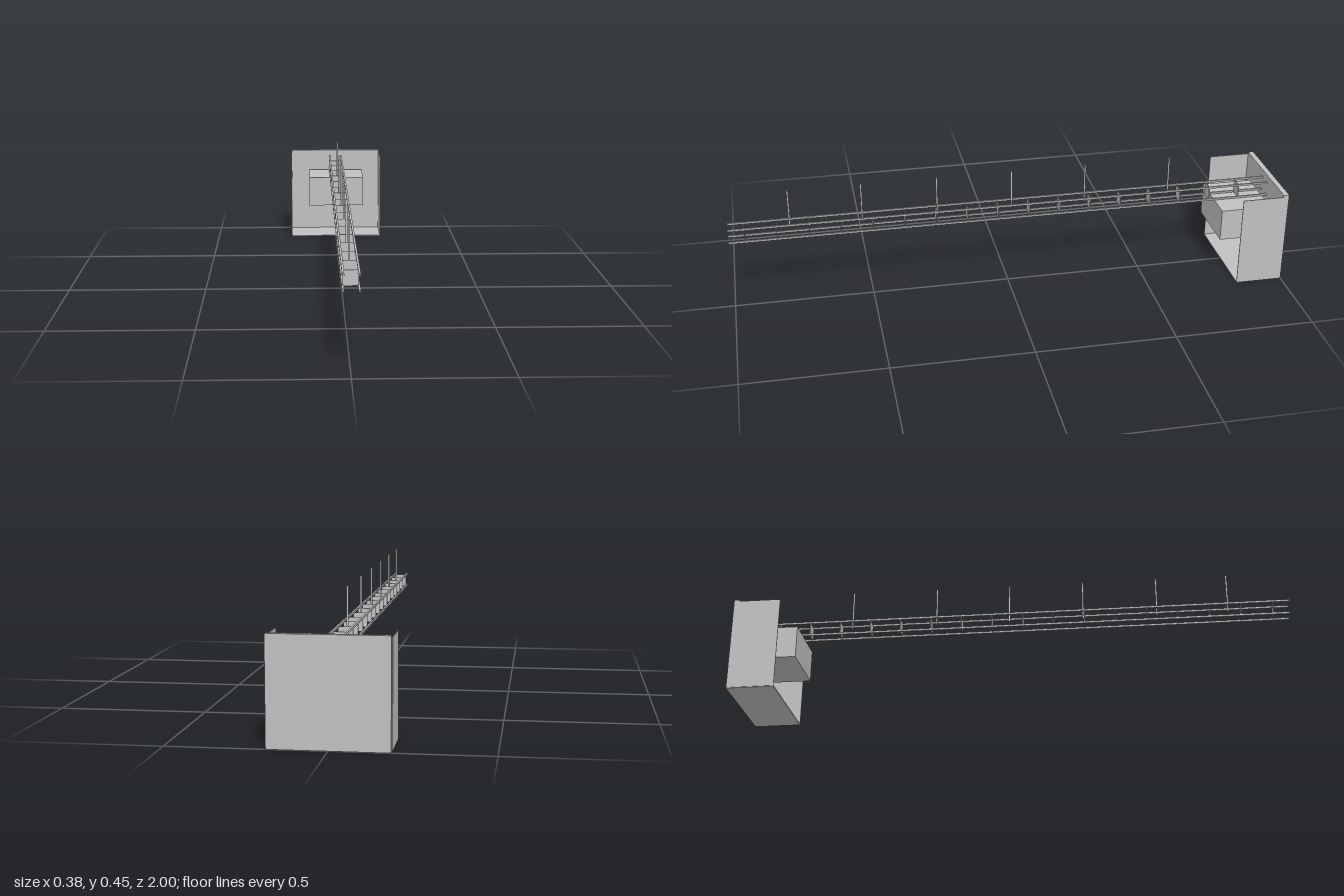
import * as THREE from 'three';

const grey = new THREE.MeshStandardMaterial({ color: 0xc0c0c0 });
grey.name = 'plain grey';

// Box given by its min and max corners
function box(name, [x0, y0, z0], [x1, y1, z1]) {
  const geometry = new THREE.BoxGeometry(x1 - x0, y1 - y0, z1 - z0);
  const mesh = new THREE.Mesh(geometry, grey);
  mesh.name = name;
  mesh.position.set((x0 + x1) / 2, (y0 + y1) / 2, (z0 + z1) / 2);
  return mesh;
}

export function createModel() {
  const model = new THREE.Group();
  model.name = 'trussAndHousing';

  // Open housing: back panel, floor and two thin side walls
  const housing = new THREE.Group();
  housing.name = 'housing';
  housing.add(box('backPanel', [-0.188, 0, -1], [0.188, 0.348, -0.98]));
  housing.add(box('floor', [-0.188, 0, -0.98], [0.188, 0.004, -0.828]));
  housing.add(box('leftWall', [0.187, 0.002, -0.98], [0.19, 0.341, -0.828]));
  housing.add(box('rightWall', [-0.19, 0.002, -0.98], [-0.187, 0.341, -0.828]));

  // Block under the truss
  housing.add(box('innerBlock', [-0.113, 0.146, -0.965], [0.113, 0.265, -0.779]));
  model.add(housing);

  const truss = new THREE.Group();
  truss.name = 'truss';
  const r = 0.0033, halfWidth = 0.0245, low = 0.2715, high = 0.3205;

  // Four long square rails
  for (const x of [-halfWidth, halfWidth]) {
    for (const y of [low, high]) {
      truss.add(box('rail', [x - r, y - r, -0.98], [x + r, y + r, 1]));
    }
  }

  // Cross plates between the rails
  for (let i = 0; i < 17; i++) {
    const z = 0.942 - 0.1132 * i;
    truss.add(box('crossPlate', [-halfWidth, low, z - 0.0015], [halfWidth, high, z + 0.0015]));
  }

  // Upright hanger rods
  for (const z of [0.783, 0.527, 0.258, -0.013, -0.284, -0.6]) {
    truss.add(box('hangerRod', [-0.003, 0.3, z - 0.003], [0.003, 0.446, z + 0.003]));
  }
  model.add(truss);
  return model;
}
